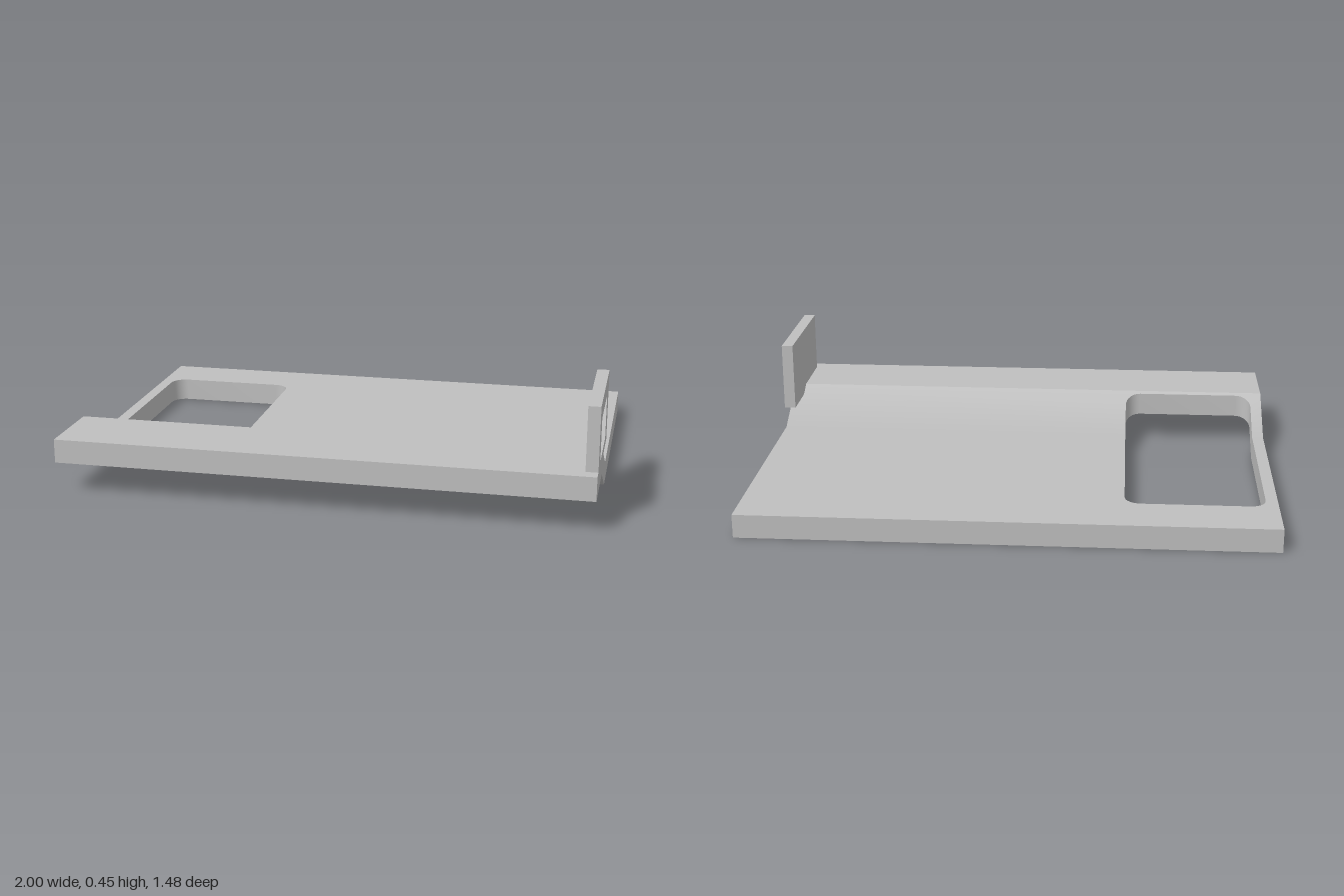
import * as THREE from 'three';
import { toCreasedNormals } from 'three/addons/utils/BufferGeometryUtils.js';

const THICK = 0.09, RISE = 0.12;          // plate thickness, height of the step
const BACK = -0.74, BEND = 0.22, STEP = 0.445, FRONT = 0.74;
const SLOPE = RISE / (STEP - BEND);

// Plate section reaching from the bend line, with its half of the rounded opening.
// dir = 1 runs to the back, dir = -1 runs to the front and climbs.
function plateSection(length, opening, dir) {
  const x0 = -0.955, x1 = -0.43, r = 0.06;
  const y = (t) => -BEND + dir * t;
  const s = new THREE.Shape();
  s.moveTo(-1, y(0));
  s.lineTo(-1, y(length));
  s.lineTo(1, y(length));
  s.lineTo(1, y(0));
  s.lineTo(x1, y(0));
  s.lineTo(x1, y(opening - r));
  s.bezierCurveTo(x1, y(opening - r * 0.45), x1 - r * 0.45, y(opening), x1 - r, y(opening));
  s.lineTo(x0 + r, y(opening));
  s.bezierCurveTo(x0 + r * 0.45, y(opening), x0, y(opening - r * 0.45), x0, y(opening - r));
  s.lineTo(x0, y(0));
  s.closePath();

  let geo = new THREE.ExtrudeGeometry(s, { depth: THICK, bevelEnabled: false, curveSegments: 8 });
  geo.rotateX(-Math.PI / 2);
  geo = toCreasedNormals(geo, 0.6);

  // Shear the front section upward, easing its normals out of the bend
  const p = geo.attributes.position, n = geo.attributes.normal;
  for (let i = 0; i < p.count; i++) {
    const d = Math.max(0, p.getZ(i) - BEND);
    p.setY(i, p.getY(i) + d * SLOPE);
    if (Math.abs(n.getY(i)) > 0.5) {
      const v = new THREE.Vector3(0, 1, -SLOPE * d / (STEP - BEND)).normalize();
      v.multiplyScalar(Math.sign(n.getY(i)));
      n.setXYZ(i, v.x, v.y, v.z);
    }
  }
  return geo;
}

// Upright tab: a rectangular frame closed on its inner side
function tabFrame(depth) {
  const rect = (path, z0, z1, y0, y1) => {
    path.moveTo(-z0, y0);
    path.lineTo(-z1, y0);
    path.lineTo(-z1, y1);
    path.lineTo(-z0, y1);
    path.closePath();
    return path;
  };
  const s = rect(new THREE.Shape(), 0.21, 0.69, 0.18, 0.45);
  s.holes.push(rect(new THREE.Path(), 0.305, 0.595, 0.215, 0.38));
  const geo = new THREE.ExtrudeGeometry(s, { depth, bevelEnabled: false });
  geo.rotateY(Math.PI / 2);
  return geo;
}

export function createModel() {
  const group = new THREE.Group();
  const grey = new THREE.MeshStandardMaterial({ color: 0xbfbfbf });
  grey.name = 'grey';
  const add = (name, geo, x = 0, y = 0, z = 0) => {
    const mesh = new THREE.Mesh(geo, grey);
    mesh.name = name;
    mesh.position.set(x, y, z);
    group.add(mesh);
  };

  // Bent plate
  add('flatPlate', plateSection(BEND - BACK, BEND + 0.53, 1));
  add('slopedPlate', plateSection(STEP - BEND, 0.43 - BEND, -1));
  add('raisedLip', new THREE.BoxGeometry(2, THICK, FRONT - STEP),
    0, RISE + THICK / 2, (FRONT + STEP) / 2);

  // Side tab with a shallow pocket on its outer face
  const pocket = 0.03, back = 0.015;
  add('tabFrame', tabFrame(pocket), 1 - pocket);
  add('tabBack', new THREE.BoxGeometry(back, 0.27, 0.48), 1 - pocket - back / 2, 0.315, 0.45);

  return group;
}
